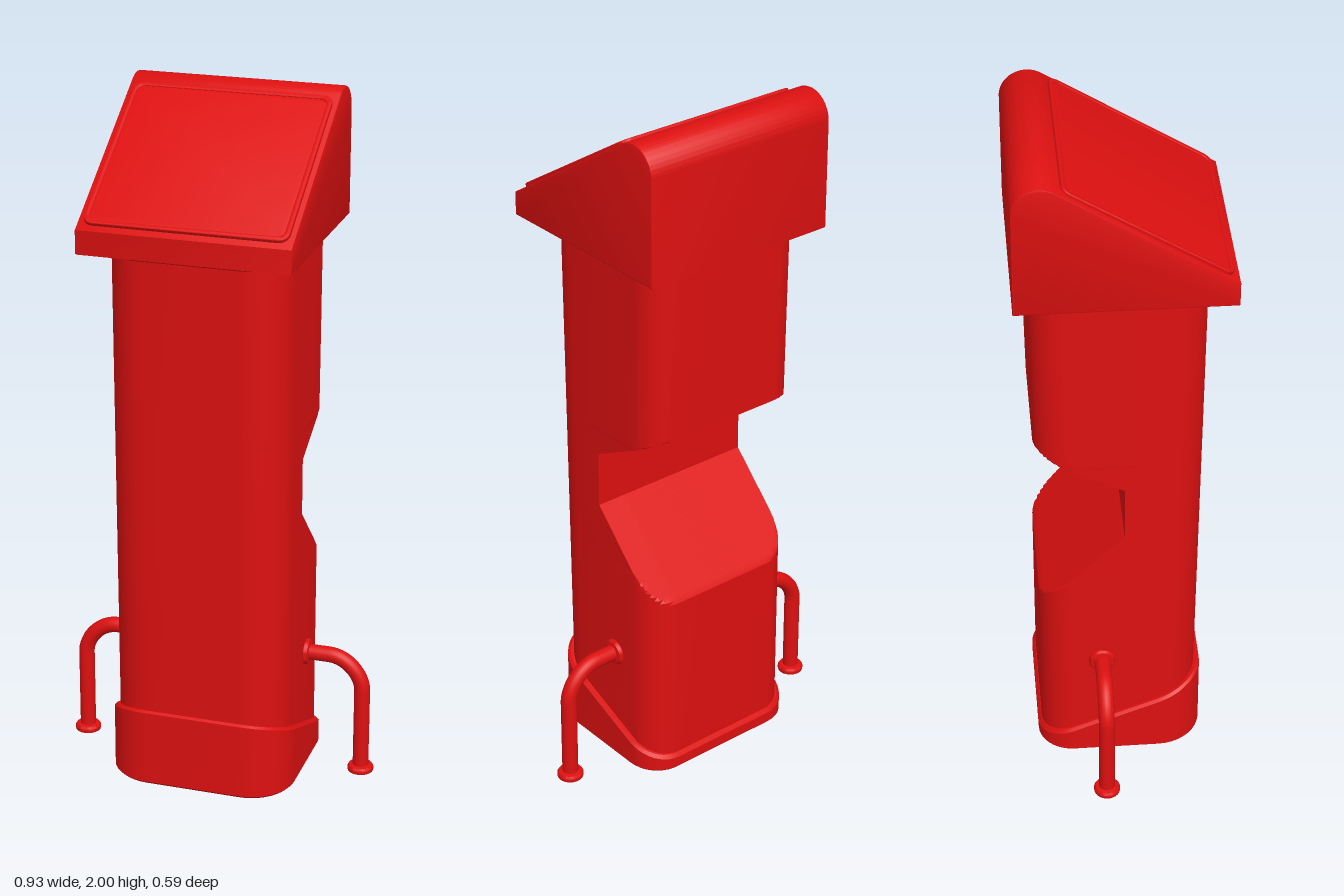
import * as THREE from 'three';
import { toCreasedNormals } from 'three/addons/utils/BufferGeometryUtils.js';

const red = new THREE.MeshStandardMaterial({ color: 0xdd1010 });

function addMesh(parent, name, geometry) {
  const mesh = new THREE.Mesh(geometry, red);
  mesh.name = name;
  parent.add(mesh);
  return mesh;
}

// Rounded rectangle outline as [x, z] pairs, running from +x towards +z
function outline(halfW, front, back, rFront, rBack, steps = 10) {
  const corners = [
    [halfW - rFront, front - rFront, rFront, 0],
    [-halfW + rFront, front - rFront, rFront, 1],
    [-halfW + rBack, back + rBack, rBack, 2],
    [halfW - rBack, back + rBack, rBack, 3],
  ];
  const pts = [];
  for (const [cx, cz, r, quarter] of corners) {
    for (let i = 0; i <= steps; i++) {
      const a = (quarter + i / steps) * Math.PI / 2;
      pts.push([cx + r * Math.cos(a), cz + r * Math.sin(a)]);
    }
  }
  return pts;
}

// Skin a stack of equal-length rings of [x, y, z] points and close both ends
function loft(rings, crease = 0.45) {
  const n = rings[0].length;
  const pos = rings.flat(2);
  const index = [];
  for (let i = 0; i < rings.length - 1; i++) {
    for (let j = 0; j < n; j++) {
      const a = i * n + j, b = i * n + (j + 1) % n;
      index.push(a, a + n, b, b, a + n, b + n);
    }
  }
  [0, rings.length - 1].forEach((row) => {
    const centre = pos.length / 3;
    for (let k = 0; k < 3; k++) pos.push(rings[row].reduce((s, p) => s + p[k], 0) / n);
    for (let j = 0; j < n; j++) {
      const a = row * n + j, b = row * n + (j + 1) % n;
      if (row === 0) index.push(centre, a, b);
      else index.push(centre, b, a);
    }
  });
  const g = new THREE.BufferGeometry();
  g.setAttribute('position', new THREE.Float32BufferAttribute(pos, 3));
  g.setIndex(index);
  return toCreasedNormals(g, crease);
}

// Rearmost z allowed by the notch at height y
function notchLimit(y) {
  if (y <= 0.575 || y >= 1.112) return -1;
  if (y < 0.82) return -0.245 * (0.82 - y) / 0.245;
  if (y <= 0.985) return 0;
  return -0.245 * (y - 0.985) / 0.127;
}

function columnGeometry() {
  const levels = [0.04, 0.574];
  for (let i = 0; i <= 24; i++) levels.push(0.576 + 0.244 * i / 24);
  for (let i = 0; i <= 24; i++) levels.push(0.985 + 0.126 * i / 24);
  levels.push(1.113, 1.61);
  return loft(levels.map((y) => {
    const front = 0.21 + 0.02 * y / 1.6;
    const back = -0.24 - 0.015 * Math.max(0, (y - 0.6) / 1.0);
    return outline(0.255, front, back, 0.12, 0.09)
      .map(([x, z]) => [x, y, Math.max(z, notchLimit(y))]);
  }));
}

// Plinth with a rim that slopes down towards the back
function plinthGeometry() {
  const pts = outline(0.27, 0.23, -0.25, 0.13, 0.1);
  const inner = outline(0.262, 0.222, -0.242, 0.122, 0.092);
  const rim = (z) => 0.159 + 0.396 * z;
  return loft([
    inner.map(([x, z]) => [x, 0.012, z]),
    pts.map(([x, z]) => [x, 0.02, z]),
    pts.map(([x, z]) => [x, rim(z) - 0.008, z]),
    inner.map(([x, z]) => [x, rim(z), z]),
  ]);
}

function collarGeometry() {
  const wide = outline(0.27, 0.247, -0.27, 0.13, 0.1);
  const narrow = outline(0.26, 0.237, -0.26, 0.12, 0.09);
  return loft([
    narrow.map(([x, z]) => [x, 1.598, z]),
    wide.map(([x, z]) => [x, 1.608, z]),
    wide.map(([x, z]) => [x, 1.622, z]),
  ]);
}

// Wedge-shaped head: side profile drawn with shape x = -z, extruded along x
function headGeometry() {
  const b = 0.005, s = new THREE.Shape();
  s.moveTo(-0.295 + b, 1.62 + b);
  s.lineTo(0.295 - b, 1.62 + b);
  s.lineTo(0.295 - b, 1.925);
  s.absarc(0.22, 1.925, 0.075 - b, 0, Math.PI / 2 + 0.56, false);
  s.lineTo(-0.295 + b, 1.69 - b);
  s.closePath();
  const g = new THREE.ExtrudeGeometry(s, {
    depth: 0.6 - 2 * b, bevelThickness: b, bevelSize: b, bevelSegments: 2, curveSegments: 20,
  });
  g.translate(0, 0, -0.3 + b);
  g.rotateY(Math.PI / 2);
  return toCreasedNormals(g, 0.45);
}

function roundedRect(path, w, h, r) {
  const x = w / 2, y = h / 2;
  path.moveTo(-x + r, -y);
  path.lineTo(x - r, -y);
  path.absarc(x - r, -y + r, r, -Math.PI / 2, 0);
  path.lineTo(x, y - r);
  path.absarc(x - r, y - r, r, 0, Math.PI / 2);
  path.lineTo(-x + r, y);
  path.absarc(-x + r, y - r, r, Math.PI / 2, Math.PI);
  path.lineTo(-x, -y + r);
  path.absarc(-x + r, -y + r, r, Math.PI, Math.PI * 1.5);
  return path;
}

function plate(w, h, r, depth, bevel, hole) {
  const shape = roundedRect(new THREE.Shape(), w - 2 * bevel, h - 2 * bevel, r);
  if (hole) shape.holes.push(roundedRect(new THREE.Path(), hole[0], hole[1], r));
  const g = new THREE.ExtrudeGeometry(shape, {
    depth, bevelThickness: bevel, bevelSize: bevel, bevelSegments: 3, curveSegments: 8,
  });
  return toCreasedNormals(g, 0.5);
}

// Bent tubular leg with a wall flange and a foot, on the +x side
function makeLeg(name, side) {
  const leg = new THREE.Group();
  leg.name = name;
  const path = new THREE.CurvePath();
  const v = (x, y) => new THREE.Vector3(side * x, y, 0);
  const k = 0.045;
  path.add(new THREE.LineCurve3(v(0.24, 0.36), v(0.325, 0.36)));
  path.add(new THREE.CubicBezierCurve3(v(0.325, 0.36), v(0.425 - k, 0.36), v(0.425, 0.26 + k), v(0.425, 0.26)));
  path.add(new THREE.LineCurve3(v(0.425, 0.26), v(0.425, 0.005)));
  addMesh(leg, 'legTube', new THREE.TubeGeometry(path, 48, 0.023, 20));

  const disc = [[0, 0], [0.037, 0], [0.038, 0.004], [0.038, 0.012], [0.034, 0.018], [0.023, 0.02]]
    .map(([x, y]) => new THREE.Vector2(x, y));
  const flange = toCreasedNormals(new THREE.LatheGeometry(disc, 28), 0.6);
  addMesh(leg, 'foot', flange).position.set(side * 0.425, 0, 0);
  const wall = addMesh(leg, 'wallFlange', flange);
  wall.position.set(side * 0.248, 0.36, 0);
  wall.rotation.z = -side * Math.PI / 2;
  leg.position.z = -0.065;
  return leg;
}

export function createModel() {
  const model = new THREE.Group();
  model.name = 'kiosk';

  addMesh(model, 'plinth', plinthGeometry());
  addMesh(model, 'column', columnGeometry());
  addMesh(model, 'collar', collarGeometry());
  addMesh(model, 'head', headGeometry());

  // Screen lying on the sloping face
  const screen = new THREE.Group();
  screen.name = 'screen';
  addMesh(screen, 'screenFrame', plate(0.57, 0.525, 0.025, 0.006, 0.004, [0.548, 0.503]));
  addMesh(screen, 'screenPanel', plate(0.546, 0.501, 0.02, 0.004, 0.003));
  screen.position.set(0, 1.839, 0.056);
  screen.rotation.x = -(Math.PI / 2 - 0.56);
  model.add(screen);

  model.add(makeLeg('leftLeg', 1), makeLeg('rightLeg', -1));
  return model;
}
